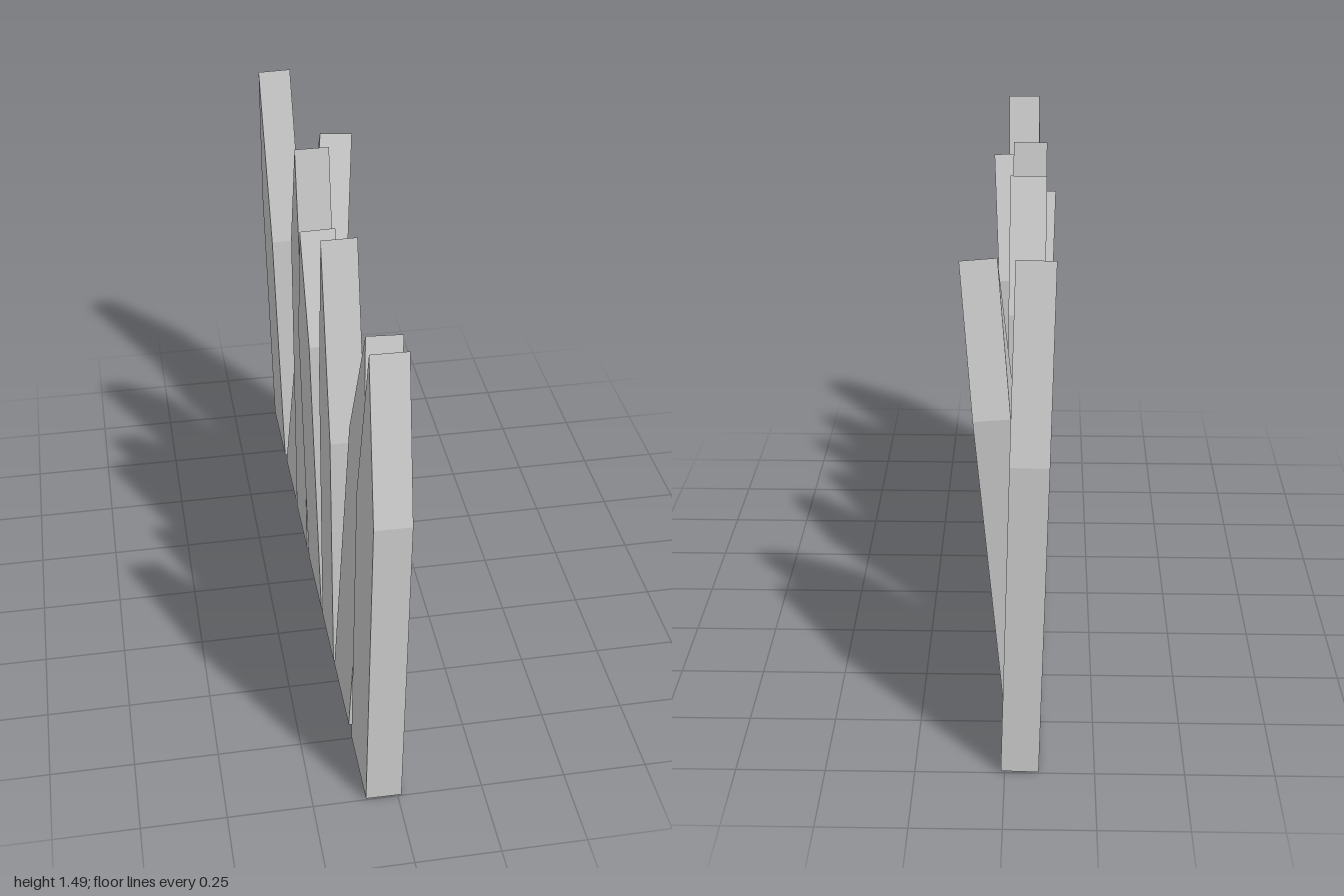
import * as THREE from 'three';

const THICK = 0.105, BASE_X = -0.042, BASE_Y = 0.006;

// Each plank: base edges z, shoulders [z, y], tip [z, y], sideways lean of the tip in x
const PLANKS = [
  { base: [1.0, 0.75], front: [1.0, 1.0], back: [0.75, 0.935], tip: [0.88, 1.465], lean: 0.017 },
  { base: [0.70, 0.43], front: [0.715, 0.84], back: [0.45, 0.94], tip: [0.595, 1.337], lean: 0.06 },
  { base: [0.41, 0.185], front: [0.40, 0.85], back: [0.205, 0.97], tip: [0.275, 1.46], lean: -0.011 },
  { base: [0.16, -0.12], front: [0.15, 1.03], back: [-0.10, 0.935], tip: [0.05, 1.37], lean: -0.038 },
  { base: [-0.16, -0.405], front: [-0.145, 0.94], back: [-0.365, 1.12], tip: [-0.23, 1.495], lean: -0.011 },
  { base: [-0.435, -0.675], front: [-0.455, 0.945], back: [-0.695, 0.94], tip: [-0.59, 1.37], lean: 0.122 },
  { base: [-0.715, -1.0], front: [-0.755, 0.89], back: [-1.0, 0.94], tip: [-0.89, 1.465], lean: -0.038 },
];

// Pointed board, drawn in the z-y plane and extruded across x
function plankGeometry({ base, front, back, tip }) {
  const outline = [[base[0], BASE_Y], [base[1], BASE_Y], back, tip, front]
    .map(([z, y]) => new THREE.Vector2(-z, y - BASE_Y));
  const geometry = new THREE.ExtrudeGeometry(new THREE.Shape(outline), { depth: THICK, bevelEnabled: false });
  return geometry.translate(0, 0, -THICK / 2).rotateY(Math.PI / 2);
}

export function createModel() {
  const fence = new THREE.Group();
  fence.name = 'fence';
  const material = new THREE.MeshStandardMaterial({ color: 0xcccccc, flatShading: true });

  PLANKS.forEach((plank, i) => {
    const mesh = new THREE.Mesh(plankGeometry(plank), material);
    mesh.name = `plank${i + 1}`;
    // Tilt about the foot of the board
    mesh.position.set(BASE_X, BASE_Y, 0);
    mesh.rotation.z = -Math.asin(plank.lean / plank.tip[1]);
    fence.add(mesh);
  });
  return fence;
}
